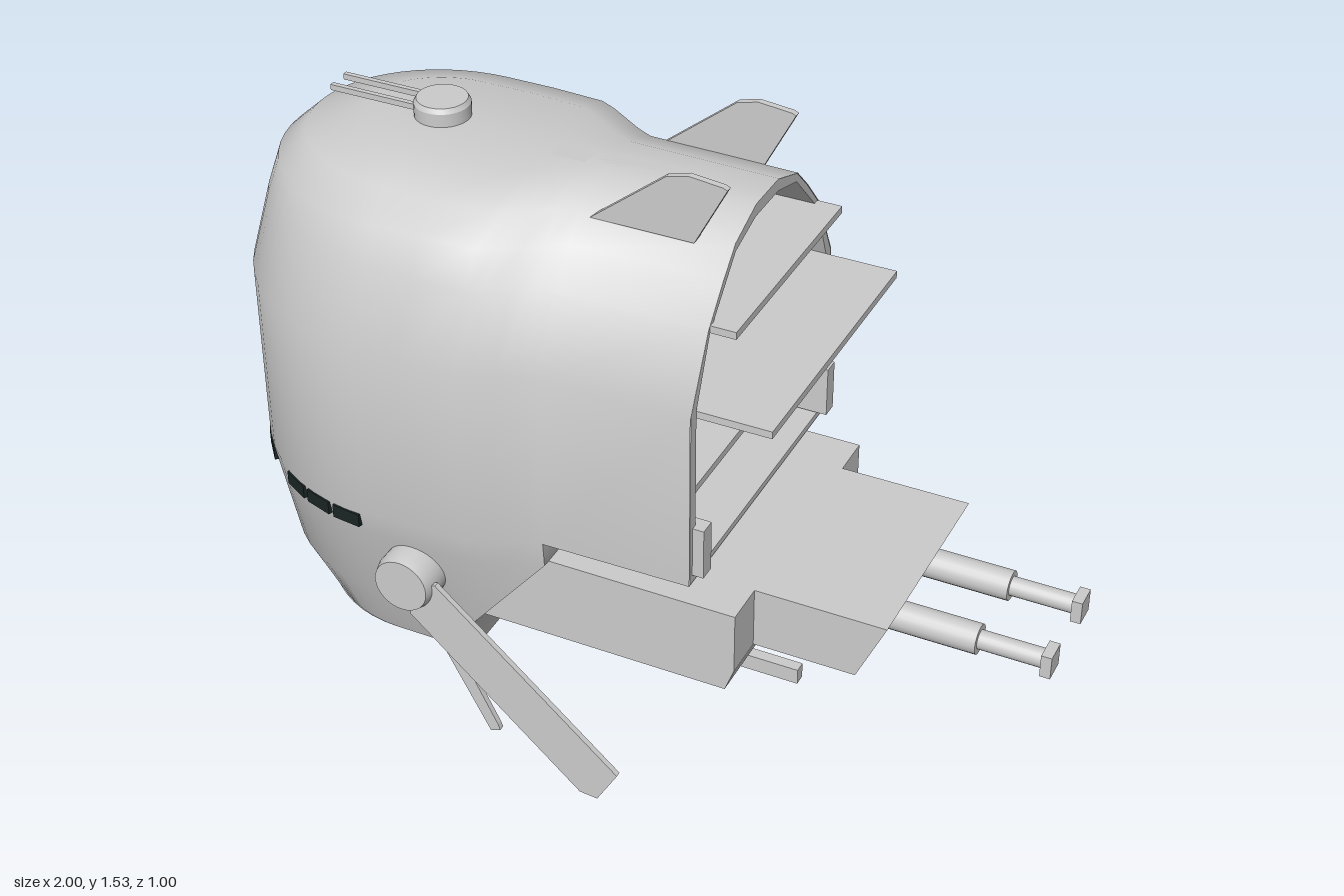
import * as THREE from 'three';
import { toCreasedNormals } from 'three/addons/utils/BufferGeometryUtils.js';

const grey = new THREE.MeshStandardMaterial({ color: 0xcccccc });
const greyTwoSided = new THREE.MeshStandardMaterial({ color: 0xcccccc, side: THREE.DoubleSide });
const dark = new THREE.MeshStandardMaterial({ color: 0x1a2624 });

// Skin rows of [x, y, z] points; rows from index closeFrom on are closed into loops
function skin(rows, closeFrom, crease) {
  const n = rows[0].length, index = [];
  for (let i = 0; i < rows.length - 1; i++) {
    for (let j = 0; j < (i >= closeFrom ? n : n - 1); j++) {
      const k = (j + 1) % n;
      const a = i * n + j, b = i * n + k, c = (i + 1) * n + k, d = (i + 1) * n + j;
      index.push(a, b, c, a, c, d);
    }
  }
  const g = new THREE.BufferGeometry();
  g.setAttribute('position', new THREE.Float32BufferAttribute(rows.flat(2), 3));
  g.setIndex(index);
  return toCreasedNormals(g, crease);
}

const polygon = pts => new THREE.Shape(pts.map(p => new THREE.Vector2(p[0], p[1])));

// Side outline (x, y) given thickness in z, centred on z
function plate(pts, thickness, z = 0) {
  const g = new THREE.ExtrudeGeometry(polygon(pts), { depth: thickness, bevelEnabled: false });
  return g.translate(0, 0, z - thickness / 2);
}

// Box from its limits in x and y, with depth in z about a centre
function box(x0, x1, y0, y1, depth, z = 0) {
  return new THREE.BoxGeometry(x1 - x0, y1 - y0, depth).translate((x0 + x1) / 2, (y0 + y1) / 2, z);
}

// Round bar along x
function rod(x0, x1, y, z, r) {
  return new THREE.CylinderGeometry(r, r, x1 - x0, 20).rotateZ(Math.PI / 2).translate((x0 + x1) / 2, y, z);
}

// Disc with a chamfered upper rim, standing on y = 0
function disc(r, h) {
  const pts = [[0, 0], [r, 0], [r, h * 0.75], [r * 0.9, h], [0, h]].map(p => new THREE.Vector2(...p));
  return toCreasedNormals(new THREE.LatheGeometry(pts, 32), 0.5);
}

// Hull levels from the top: height, nose x, body half width, rear half width, rear end x
const LEVELS = [
  [1.42, -0.74, 0.17, 0.06, 0.24], [1.38, -0.87, 0.28, 0.165, 0.24],
  [1.32, -0.935, 0.345, 0.225, 0.24], [1.24, -0.96, 0.385, 0.295, 0.24],
  [1.07, -1, 0.457, 0.38, 0.24], [0.62, -1, 0.457, 0.38, 0.24],
  [0.62, -1, 0.457, 0.38, -0.12], [0.555, -0.99, 0.445, 0.375, -0.12],
  [0.34, -0.96, 0.395, 0.36, -0.3], [0.2, -0.87, 0.345, 0.345, -0.34],
  [0.2, -0.87, 0.345, 0.345, -0.55], [0.08, -0.71, 0.165, 0.165, -0.56],
];

// Plan outline of one level: rear, waist, round nose, and back along the other side
function hullRow([y, nose, w, b, end]) {
  const side = [end, -0.12, -0.16, -0.205, -0.25, -0.29, -0.42].map(x => {
    const cx = Math.min(x, end);
    return [cx, y, b + (w - b) * THREE.MathUtils.smoothstep(-cx, 0.08, 0.33)];
  });
  const c = Math.min(-0.54, end), arc = [];
  for (let i = 0; i <= 28; i++) {
    const t = Math.PI * i / 28;
    arc.push([c + (nose - c) * Math.sin(t), y, w * Math.cos(t)]);
  }
  return [...side, ...arc, ...side.map(p => [p[0], p[1], -p[2]]).reverse()];
}

export function createModel() {
  const model = new THREE.Group();
  const add = (name, geometry, material = grey) => {
    const mesh = new THREE.Mesh(geometry, material);
    mesh.name = name;
    model.add(mesh);
    return mesh;
  };

  // Hull, closed along the middle at top and bottom, open at the rear bay
  const rows = LEVELS.map(hullRow);
  const flatten = row => row.map(p => [p[0], p[1], 0]);
  add('hull', skin([flatten(rows[0]), ...rows, flatten(rows[rows.length - 1])], 6, 0.85), greyTwoSided);

  // Bay lining with its visible rim
  const arch = (half, inset) => [...half.map(p => [p[0] - inset, p[1]]),
    ...half.map(p => [inset - p[0], p[1]]).reverse()];
  const lining = polygon(arch([[0.38, 0.622], [0.38, 1.07], [0.295, 1.24], [0.225, 1.32], [0.165, 1.38], [0.06, 1.42]], 0.003));
  lining.holes.push(polygon(arch([[0.35, 0.637], [0.35, 1.07], [0.285, 1.23], [0.16, 1.36], [0.06, 1.39]], 0)));
  add('bayLining', new THREE.ExtrudeGeometry(lining, { depth: 0.49, bevelEnabled: false })
    .rotateY(Math.PI / 2).translate(-0.25, 0, 0));
  add('bayBulkhead', box(-0.26, -0.245, 0.625, 1.07, 0.74));
  add('bayBulkheadTop', plate([[-0.36, 1.07], [0.36, 1.07], [0.285, 1.24], [0.16, 1.37], [-0.16, 1.37], [-0.285, 1.24]], 0.015)
    .rotateY(Math.PI / 2).translate(-0.2525, 0, 0));

  // Bay decks
  for (const [y, x1, width] of [[0.857, 0.235, 0.7], [1.062, 0.415, 0.7], [1.238, 0.3, 0.57]]) {
    add('deck', box(-0.25, x1, y - 0.009, y + 0.009, width));
  }

  // Rear gun housing: wide base, then a narrower block with a recess
  add('gunBase', plate([[-0.32, 0.34], [0.32, 0.34], [0.342, 0.4], [0.342, 0.555], [-0.14, 0.555]], 0.72));
  const ring = (inset, x) => {
    const top = 0.555 - inset * 0.4, bottom = 0.4 + inset * 0.4, z = 0.255 - inset;
    return [[-z, top], [z, top], [z, bottom], [-z, bottom]].map(([pz, y]) =>
      [x ?? 0.59 + (y - 0.4) * 0.45, y, pz]);
  };
  const centre = ring(0, 0.44).map(() => [0.44, 0.478, 0]);
  add('gunBlock', skin([ring(0, 0.33), ring(0), ring(0.055), ring(0.055, 0.44), centre], 0, 0.1), greyTwoSided);

  // Windows around the nose
  for (const degrees of [6.5, 17.5, 28.5, 50.5, 61.5, 72.5, 83.5]) {
    for (const s of [1, -1]) {
      const t = THREE.MathUtils.degToRad(degrees);
      const pane = add('window', new THREE.BoxGeometry(0.074, 0.034, 0.02), dark);
      pane.position.set(-0.54 - 0.449 * Math.sin(t), 0.593, s * 0.449 * Math.cos(t));
      pane.rotation.y = -s * t;
    }
  }

  // Turrets above and below
  add('topTurret', disc(0.065, 0.045).translate(-0.55, 1.418, 0));
  add('bottomTurret', disc(0.065, 0.045).rotateX(Math.PI).translate(-0.435, 0.202, 0));

  for (const s of [1, -1]) {
    // Turret barrels
    add('topBarrel', box(-0.82, -0.55, 1.433, 1.447, 0.012, s * 0.028));
    add('bottomBarrel', rod(-0.435, -0.16, 0.178, s * 0.028, 0.008));

    // Rear guns
    add('gunSleeve', rod(0.44, 0.825, 0.476, s * 0.105, 0.036));
    add('gunBarrel', rod(0.825, 0.975, 0.476, s * 0.105, 0.023));
    add('gunMuzzle', box(0.975, 1, 0.447, 0.505, 0.058, s * 0.105));

    // Rails under the gun base, posts in the bay mouth
    add('lowerRail', box(-0.36, 0.42, 0.248, 0.288, 0.028, s * 0.16));
    add('bayPost', box(0.19, 0.267, 0.642, 0.77, 0.04, s * 0.345));

    // Tail fins
    add('tailFin', plate([[-0.09, 1.37], [0.155, 1.37], [0.23, 1.515], [0.22, 1.52], [0.14, 1.528], [0.09, 1.515]], 0.016, s * 0.177));

    // Side pivots with a long and a short leg
    add('legPivot', disc(0.074, 0.1).rotateX(s * Math.PI / 2).translate(-0.43, 0.475, s * 0.4));
    add('longLeg', plate([[-0.42, 0.385], [0.01, 0.004], [0.055, 0], [0.107, 0.09], [-0.35, 0.49], [-0.43, 0.475]], 0.014, s * 0.474));
    add('shortLeg', plate([[-0.43, 0.44], [-0.235, 0.08], [-0.21, 0.09], [-0.215, 0.105], [-0.385, 0.44]], 0.014, s * 0.45));
  }
  return model;
}
